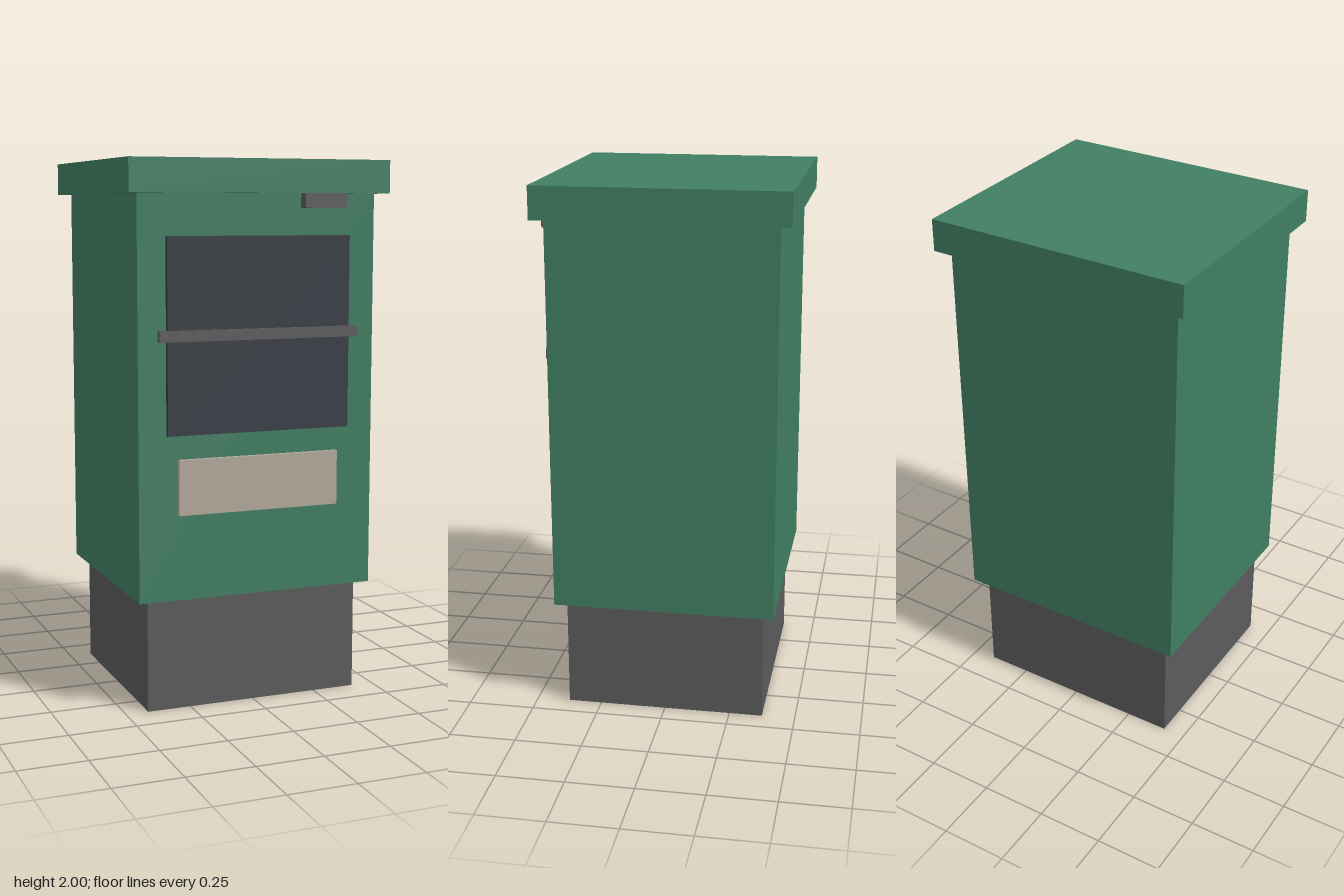
import * as THREE from 'three';

const material = (name, color, side = THREE.FrontSide) => {
  const m = new THREE.MeshStandardMaterial({ color, side });
  m.name = name;
  return m;
};

export function createModel() {
  const green = material('green paint', 0x417f63);
  const grey = material('dark grey metal', 0x5c5c5e, THREE.DoubleSide);
  const glass = material('dark glass', 0x373b43);
  const beige = material('beige plate', 0xb5aa9d);

  const group = new THREE.Group();
  group.name = 'cabinet';

  // Box given by its extents along each axis
  const addBox = (name, mat, [x0, x1], [y0, y1], [z0, z1]) => {
    const geometry = new THREE.BoxGeometry(x1 - x0, y1 - y0, z1 - z0);
    const mesh = new THREE.Mesh(geometry, mat);
    mesh.position.set((x0 + x1) / 2, (y0 + y1) / 2, (z0 + z1) / 2);
    mesh.name = name;
    group.add(mesh);
    return mesh;
  };

  // Hollow plinth: a box left open underneath (face group 3 is the bottom)
  const plinth = addBox('plinth', grey, [-0.415, 0.415], [0, 0.419], [-0.375, 0.375]);
  const faces = Array.from(plinth.geometry.index.array);
  faces.splice(18, 6);
  plinth.geometry.setIndex(faces);
  plinth.geometry.clearGroups();

  // Cabinet body and overhanging lid
  addBox('body', green, [-0.458, 0.458], [0.42, 1.88], [-0.415, 0.415]);
  addBox('lid', green, [-0.5, 0.5], [1.88, 2], [-0.458, 0.458]);

  // Front fittings
  const front = 0.414;
  addBox('window', glass, [-0.353, 0.353], [1.025, 1.73], [front, 0.432]);
  addBox('windowBar', grey, [-0.385, 0.385], [1.36, 1.4], [front, 0.438]);
  addBox('lowerPlate', beige, [-0.311, 0.311], [0.735, 0.937], [front, 0.433]);
  addBox('latch', grey, [0.165, 0.33], [1.828, 1.885], [front, 0.457]);

  return group;
}
